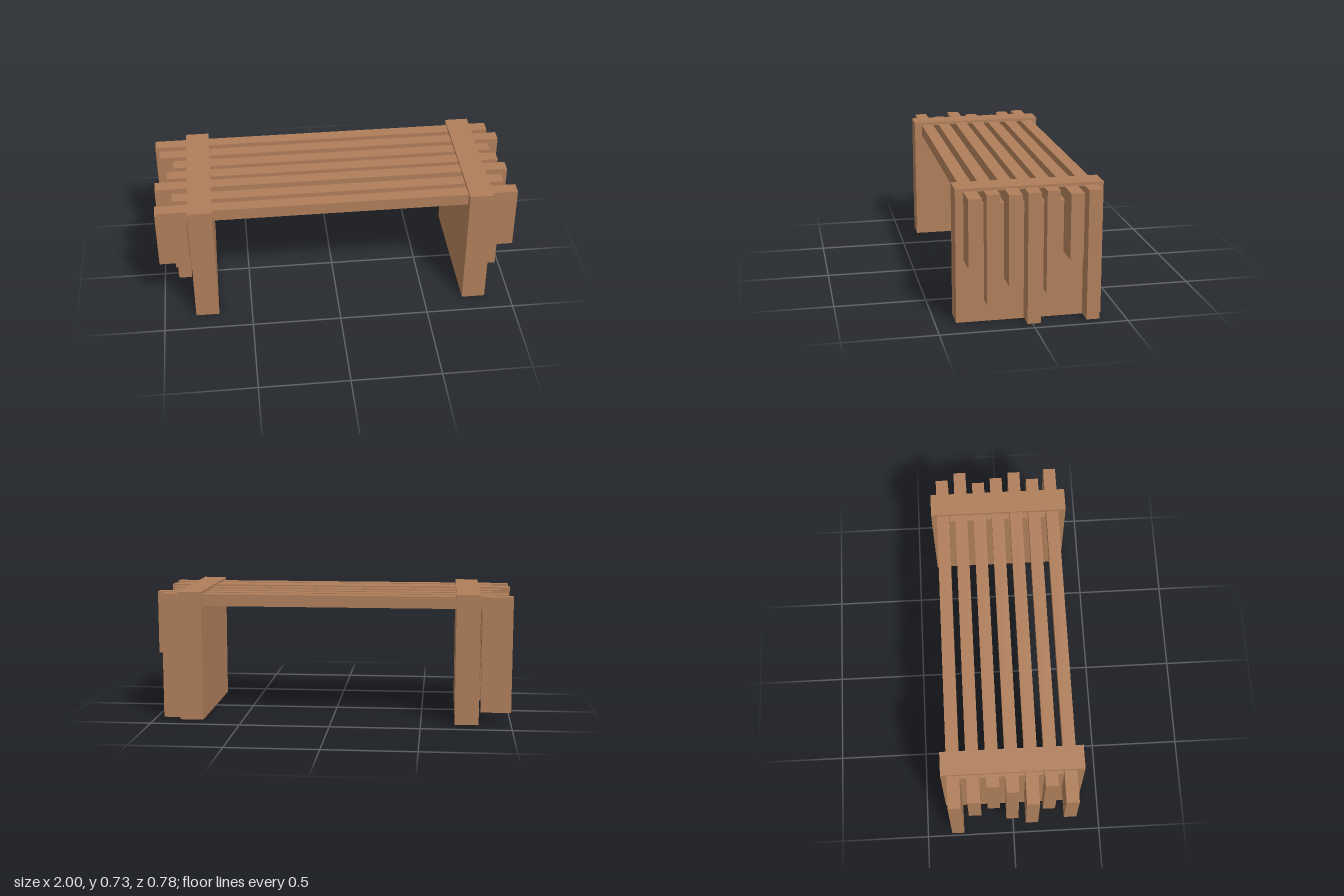
import * as THREE from 'three';

const wood = new THREE.MeshStandardMaterial({ color: 0xae7d59 });
wood.name = 'wood';

// Extrude an outline in (u, y) to a depth centred on zero
function extrude(points, depth, hole) {
  const shape = new THREE.Shape(points.map(p => new THREE.Vector2(...p)));
  if (hole) shape.holes.push(new THREE.Path(hole.map(p => new THREE.Vector2(...p))));
  return new THREE.ExtrudeGeometry(shape, { depth, bevelEnabled: false }).translate(0, 0, -depth / 2);
}

export function createModel() {
  const bench = new THREE.Group();
  bench.name = 'slattedBench';

  // Slab legs with a slot near the top that the slats pass through
  const legGeometry = extrude(
    [[-0.39, 0], [0.39, 0], [0.39, 0.725], [-0.39, 0.725]], 0.132,
    [[-0.347, 0.638], [-0.347, 0.706], [0.357, 0.706], [0.357, 0.638]]
  ).rotateY(Math.PI / 2);
  for (const [name, x] of [['rightLeg', -0.755], ['leftLeg', 0.79]]) {
    const leg = new THREE.Mesh(legGeometry, wood);
    leg.name = name;
    leg.position.x = x;
    bench.add(leg);
  }

  // Each slat: z, right end, right drop bottom, left end, left drop bottom, top
  const slats = [
    [0.312, -1.0, 0.36, 1.0, 0.345, 0.71],
    [0.207, -0.905, 0.165, 0.94, 0.12, 0.71],
    [0.101, -1.0, 0.26, 0.985, 0.232, 0.716],
    [-0.005, -0.93, 0.065, 0.955, 0.005, 0.712],
    [-0.11, -0.895, 0.2, 0.93, 0.16, 0.71],
    [-0.216, -0.975, 0.4, 1.0, 0.358, 0.71],
    [-0.322, -1.0, 0.065, 0.955, 0.005, 0.71],
  ];
  const under = 0.643, innerRight = -0.832, innerLeft = 0.857;
  slats.forEach(([z, x0, y0, x1, y1, top], i) => {
    // Seat board with a drop at each end, cut as one outline
    const slat = new THREE.Mesh(extrude([
      [x0, y0], [innerRight, y0], [innerRight, under],
      [innerLeft, under], [innerLeft, y1], [x1, y1],
      [x1, top], [x0, top],
    ], 0.07), wood);
    slat.name = `slat${i + 1}`;
    slat.position.z = z;
    bench.add(slat);
  });

  return bench;
}
